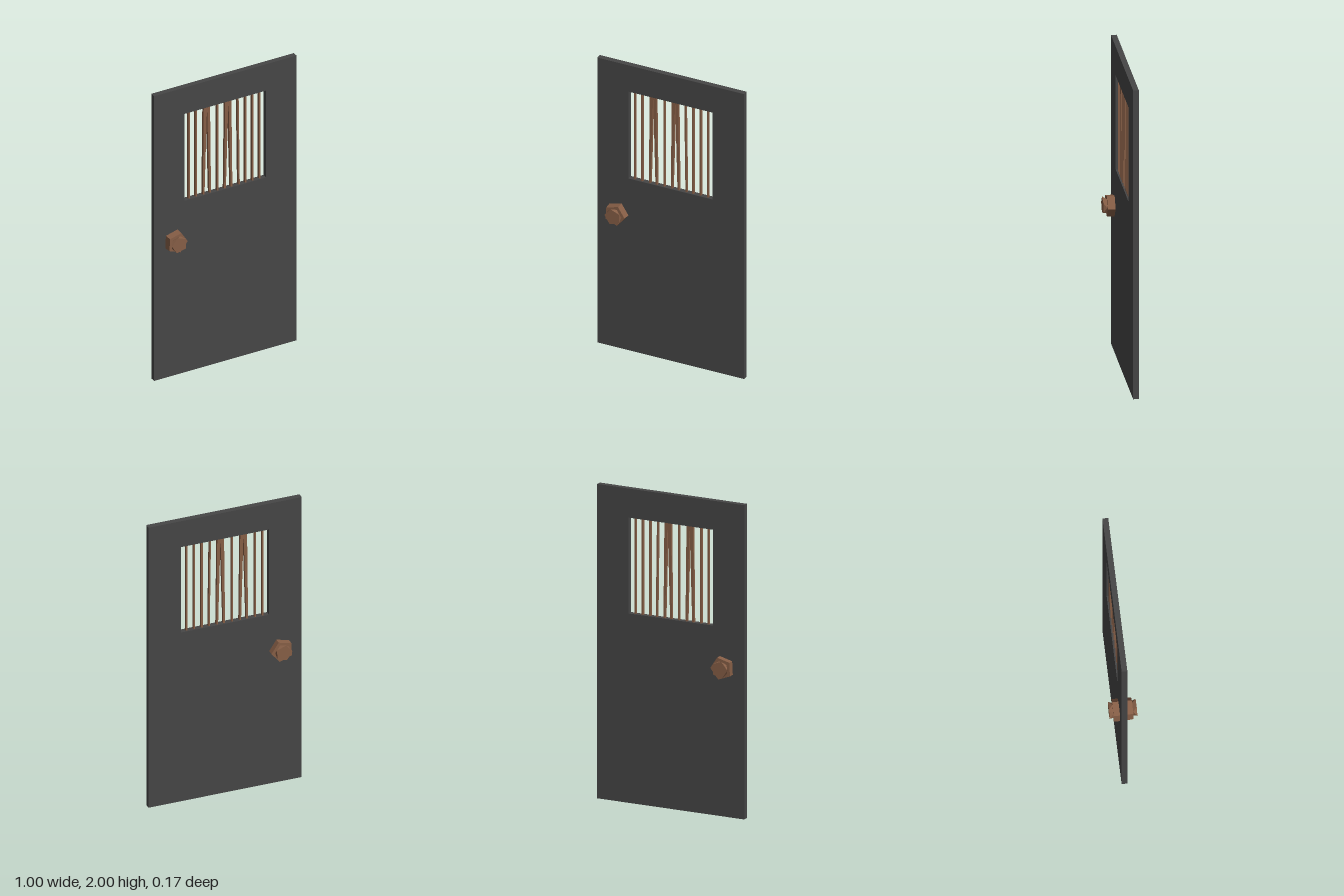
import * as THREE from 'three';

const iron = new THREE.MeshStandardMaterial({ name: 'dark iron', color: 0x464646 });
const copper = new THREE.MeshStandardMaterial({ name: 'copper brown', color: 0x865e46 });
copper.flatShading = true;

const BACK = -0.022, FRONT = 0.013;

// Slab with a rectangular window opening
function makePanel() {
  const shape = new THREE.Shape();
  shape.moveTo(-0.5, 0).lineTo(0.5, 0).lineTo(0.5, 2).lineTo(-0.5, 2).closePath();
  const hole = new THREE.Path();
  hole.moveTo(-0.288, 1.205).lineTo(-0.288, 1.815).lineTo(0.286, 1.815).lineTo(0.286, 1.205).closePath();
  shape.holes.push(hole);
  const geometry = new THREE.ExtrudeGeometry(shape, { depth: FRONT - BACK, bevelEnabled: false });
  geometry.translate(0, 0, BACK);
  const mesh = new THREE.Mesh(geometry, iron);
  mesh.name = 'doorPanel';
  return mesh;
}

// Window bar whose top and bottom can differ in position and width
function makeBar(topLeft, topRight, bottomLeft, bottomRight) {
  const geometry = new THREE.BoxGeometry(1, 0.63, 0.018);
  const p = geometry.attributes.position;
  for (let i = 0; i < p.count; i++) {
    const left = p.getX(i) < 0;
    const top = p.getY(i) > 0;
    p.setX(i, top ? (left ? topLeft : topRight) : (left ? bottomLeft : bottomRight));
  }
  geometry.translate(0, 1.51, (BACK + FRONT) / 2);
  geometry.computeVertexNormals();
  const mesh = new THREE.Mesh(geometry, copper);
  mesh.name = 'windowBar';
  return mesh;
}

// Five-sided knob lofted through the door; rings are [z, radius, turn in degrees]
function makeKnob() {
  const rings = [
    [-0.085, 0.055, -36], [-0.061, 0.048, 0], [-0.061, 0.073, 0], [-0.02, 0.073, 0],
    [0.012, 0.073, 0], [0.06, 0.07, 0], [0.06, 0.048, 0], [0.085, 0.055, 36],
  ];
  const point = (r, i) => {
    const [z, radius, turn] = rings[r];
    const a = THREE.MathUtils.degToRad(turn + i * 72 - 3);
    return [radius * Math.cos(a), radius * Math.sin(a), z];
  };
  const v = [];
  const last = rings.length - 1;
  for (let i = 0; i < 5; i++) {
    for (let r = 0; r < last; r++) {
      const a = point(r, i), b = point(r, i + 1), c = point(r + 1, i + 1), d = point(r + 1, i);
      v.push(...a, ...b, ...d, ...b, ...c, ...d);
    }
    v.push(...point(0, i + 1), ...point(0, i), 0, 0, rings[0][0]);
    v.push(...point(last, i), ...point(last, i + 1), 0, 0, rings[last][0]);
  }
  const geometry = new THREE.BufferGeometry();
  geometry.setAttribute('position', new THREE.Float32BufferAttribute(v, 3));
  geometry.computeVertexNormals();
  const mesh = new THREE.Mesh(geometry, copper);
  mesh.name = 'doorKnob';
  mesh.position.set(-0.361, 0.95, 0);
  return mesh;
}

export function createModel() {
  const door = new THREE.Group();
  door.name = 'barredDoor';
  door.add(makePanel(), makeKnob());

  // Plain narrow bars
  const bars = new THREE.Group();
  bars.name = 'windowBars';
  for (const x of [-0.25, -0.2, -0.05, 0.097, 0.147, 0.197, 0.247]) {
    const lean = x === 0.097 ? 0.004 : 0;
    bars.add(makeBar(x - 0.005 - lean, x + 0.005 - lean, x - 0.005 + lean, x + 0.005 + lean));
  }
  // Two pairs that spread and meet at the top
  for (const x of [0, 0.15]) {
    bars.add(makeBar(x - 0.147, x - 0.124, x - 0.154, x - 0.142));
    bars.add(makeBar(x - 0.124, x - 0.103, x - 0.108, x - 0.096));
  }
  door.add(bars);
  return door;
}
